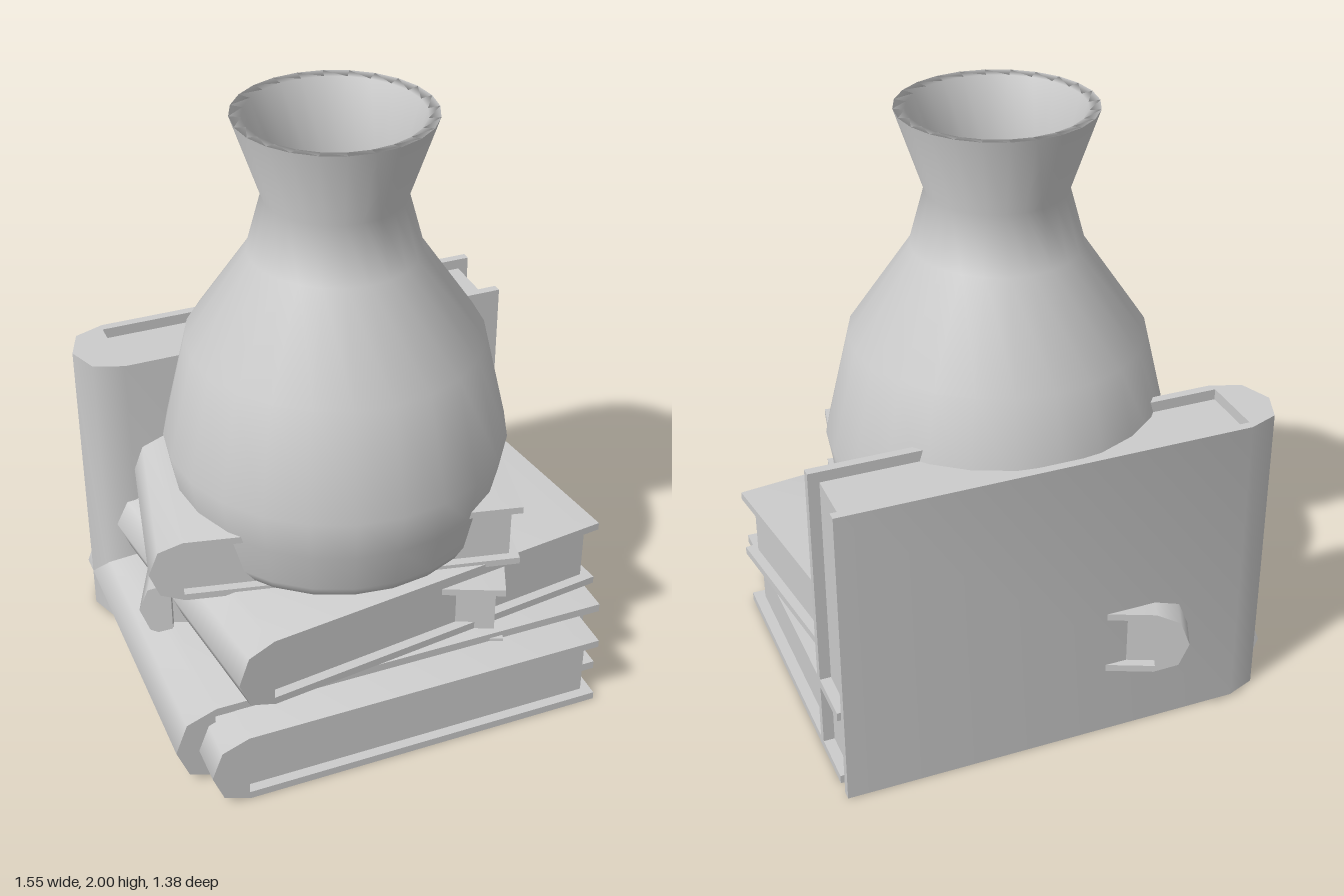
import * as THREE from 'three';
import { toCreasedNormals } from 'three/addons/utils/BufferGeometryUtils.js';

const grey = new THREE.MeshStandardMaterial({ color: 0xcccccc });
grey.name = 'paleGrey';

// Full-size book: width across the spine, length along the spine, thickness
const W = 1.51, L = 1.064, H = 0.286, COVER = 0.03, SPINE = 0.135, INSET = 0.037;

function bookGeometries() {
  const x0 = -W / 2, x1 = W / 2, h = H / 2, hi = h - COVER;
  // C-shaped section: two boards joined by a faceted spine
  const section = new THREE.Shape([
    [x1, -h], [x1, -hi], [x0 + SPINE, -hi], [x0 + SPINE, hi], [x1, hi], [x1, h],
    [x0 + 0.14, h], [x0 + 0.04, 0.105], [x0, 0], [x0 + 0.04, -0.105], [x0 + 0.14, -h],
  ].map(([x, y]) => new THREE.Vector2(x, y)));
  let cover = new THREE.ExtrudeGeometry(section, { depth: L, bevelEnabled: false });
  cover.translate(0, 0, -L / 2);
  cover = toCreasedNormals(cover, 0.85);

  const pageWidth = W - SPINE - INSET;
  const pages = new THREE.BoxGeometry(pageWidth, 2 * hi, L - 2 * INSET);
  pages.translate(x0 + SPINE + pageWidth / 2, 0, 0);
  return { cover, pages };
}

function createVase() {
  const profile = [
    // outside, bottom to rim
    [0, 0.5], [0.4, 0.5], [0.495, 0.56], [0.517, 0.6], [0.542, 0.74], [0.568, 0.89],
    [0.484, 1.247], [0.278, 1.55], [0.2275, 1.735], [0.317, 2.0],
    // inside, rim to floor
    [0.28, 1.995], [0.205, 1.735], [0.258, 1.54], [0.466, 1.24], [0.552, 0.89],
    [0.525, 0.74], [0.48, 0.6], [0.36, 0.56], [0.045, 0.56],
    // small knob in the floor
    [0.035, 0.59], [0, 0.6],
  ].map(([r, y]) => new THREE.Vector2(r, y));
  const vase = new THREE.Mesh(new THREE.LatheGeometry(profile, 24), grey);
  vase.name = 'vase';
  vase.position.set(-0.02, 0, 0.02);
  return vase;
}

export function createModel() {
  const model = new THREE.Group();
  model.name = 'vaseOnBooks';
  const { cover, pages } = bookGeometries();

  // name, scale, centre, turn about y, standing upright
  const books = [
    ['bottomBook', 1, [-0.02, 0.143, 0.018], 0, false],
    ['frontBottomBook', 0.9, [-0.02, 0.1287, 0.206], 0, false],
    ['wedgedBook', 0.8, [-0.02, 0.359, -0.065], -0.415, false],
    ['middleBook', 0.9, [0.035, 0.415, 0.052], 0.129, false],
    ['topBook', 0.8, [-0.072, 0.647, -0.02], -0.21, false],
    ['standingBook', 1, [-0.02, 0.532, -0.447], 0, true],
  ];
  for (const [name, scale, centre, turn, upright] of books) {
    const book = new THREE.Group();
    book.name = name;
    const coverMesh = new THREE.Mesh(cover, grey);
    coverMesh.name = name + 'Cover';
    const pagesMesh = new THREE.Mesh(pages, grey);
    pagesMesh.name = name + 'Pages';
    book.add(coverMesh, pagesMesh);
    book.scale.setScalar(scale);
    book.position.set(...centre);
    book.rotation.set(upright ? Math.PI / 2 : 0, turn, 0);
    model.add(book);
  }

  model.add(createVase());
  return model;
}
